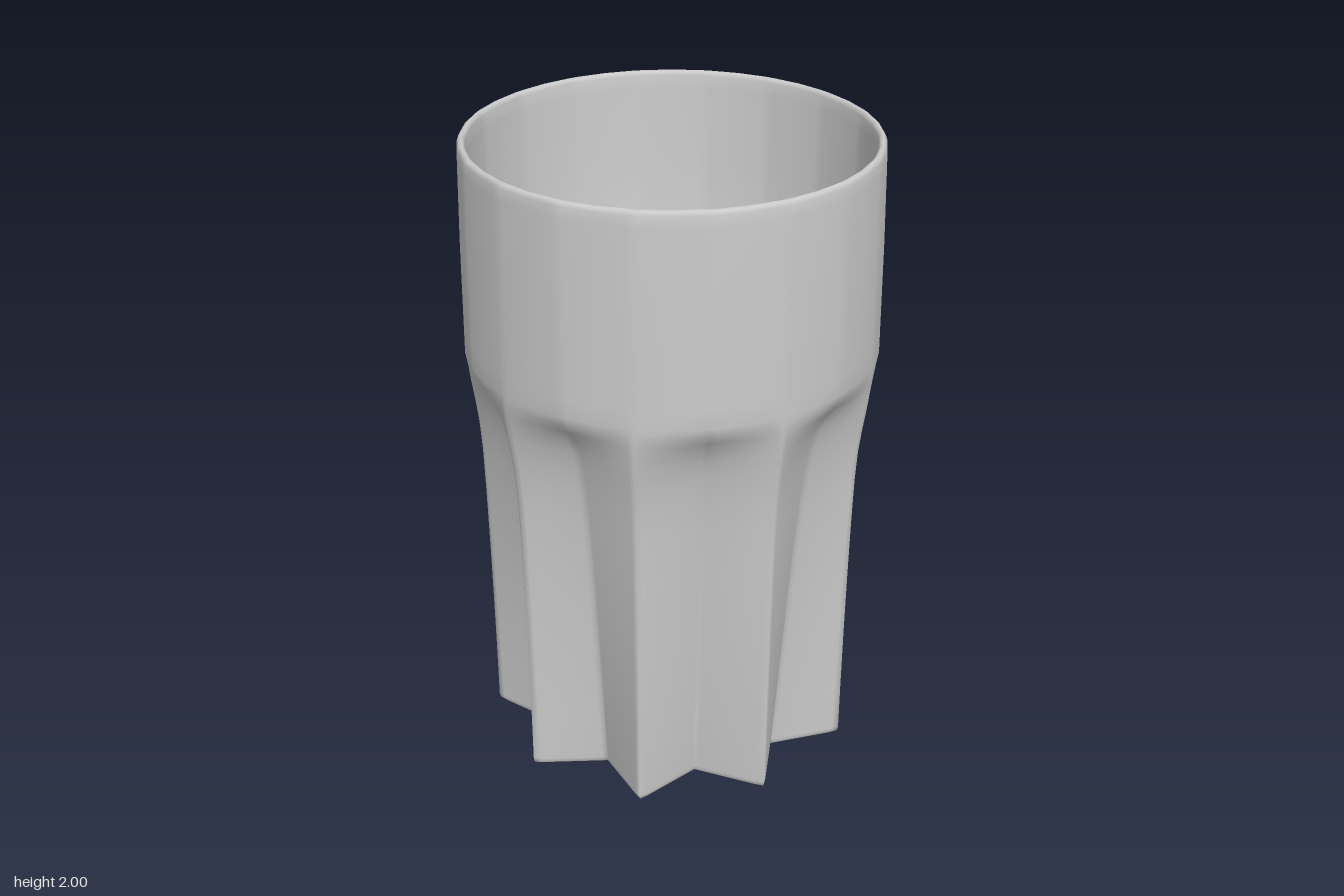
import * as THREE from 'three';
import { toCreasedNormals } from 'three/addons/utils/BufferGeometryUtils.js';

const POINTS = 9;
const HALF = Math.PI / POINTS; // angle from a ridge to the next valley

// Column angles: extra columns beside each ridge and valley keep them tight.
const columns = [];
for (let i = 0; i < POINTS; i++) {
  for (const f of [0, 0.08, 0.5, 0.92, 1, 1.08, 1.5, 1.92]) {
    columns.push({ angle: (i * 2 + f) * HALF, f: f <= 1 ? f : 2 - f });
  }
}

// Radius between ridge and valley: straight star flank, mixed towards a circle by round.
function radiusAt(f, ridge, valley, round) {
  const a = f * HALF;
  const line = ridge * valley * Math.sin(HALF) /
    (ridge * Math.sin(a) + valley * Math.sin(HALF - a));
  const soft = valley + (ridge - valley) * (0.5 + 0.5 * Math.cos(Math.PI * f));
  return THREE.MathUtils.lerp(line, soft, round) - (f === 0 ? 0.004 * (1 - round) : 0);
}

// Skins rows of [y, ridge radius, valley radius, roundness].
function loft(rows) {
  const n = columns.length;
  const pos = [];
  const index = [];
  for (const [y, ridge, valley = ridge, round = 1] of rows) {
    for (const { angle, f } of columns) {
      const r = radiusAt(f, ridge, valley, round);
      pos.push(r * Math.cos(angle), y, -r * Math.sin(angle));
    }
  }
  for (let j = 0; j < rows.length - 1; j++) {
    for (let i = 0; i < n; i++) {
      const a = j * n + i;
      const b = j * n + (i + 1) % n;
      index.push(a, b, b + n, a, b + n, a + n);
    }
  }
  const g = new THREE.BufferGeometry();
  g.setAttribute('position', new THREE.Float32BufferAttribute(pos, 3));
  g.setIndex(index);
  g.computeVertexNormals();
  return g;
}

// Closes a lofted ring with a flat disc.
function disc(radius, y, up) {
  const g = new THREE.CircleGeometry(radius, 72);
  g.rotateX(up ? -Math.PI / 2 : Math.PI / 2);
  g.translate(0, y, 0);
  return g;
}

export function createModel() {
  const group = new THREE.Group();
  group.name = 'flutedTumbler';
  const material = new THREE.MeshStandardMaterial({ color: 0xcccccc });
  const add = (name, geometry) => {
    const mesh = new THREE.Mesh(geometry, material);
    mesh.name = name;
    group.add(mesh);
  };

  // Star-shaped foot flaring into a round upper band, then over the rim
  add('outerWall', loft([
    [0, 0.573, 0.412, 0],
    [0.006, 0.582, 0.418, 0],
    [0.02, 0.586, 0.421, 0],
    [0.2, 0.588, 0.438, 0],
    [0.4, 0.591, 0.456, 0],
    [0.6, 0.595, 0.474, 0],
    [0.8, 0.6, 0.494, 0],
    [0.95, 0.605, 0.512, 0.02],
    [1.05, 0.612, 0.527, 0.06],
    [1.13, 0.622, 0.543, 0.15],
    [1.19, 0.631, 0.56, 0.3],
    [1.24, 0.636, 0.583, 0.5],
    [1.28, 0.639, 0.612, 0.75],
    [1.31, 0.64, 0.632, 0.95],
    [1.34, 0.641],
    [1.4, 0.641],
    [1.7, 0.641],
    [1.95, 0.638],
    [1.985, 0.636],
    [1.996, 0.631],
    [2, 0.623],
    [1.996, 0.615],
    [1.985, 0.611],
    [1.95, 0.609],
  ]));

  // Tapering bowl with a soft blend into the floor
  add('innerWall', loft([
    [1.95, 0.609],
    [1.7, 0.602],
    [1.45, 0.588],
    [1.25, 0.553],
    [1.05, 0.507],
    [0.8, 0.468],
    [0.5, 0.427],
    [0.25, 0.392],
    [0.16, 0.375],
    [0.11, 0.353],
    [0.085, 0.325],
    [0.08, 0.29],
  ]));
  add('innerFloor', disc(0.29, 0.08, true));

  // Underside: star-shaped ring around a shallow round recess
  add('baseRing', toCreasedNormals(loft([
    [0.025, 0.375],
    [0, 0.385],
    [0, 0.573, 0.412, 0],
  ]), 0.5));
  add('baseRecess', disc(0.375, 0.025, false));

  return group;
}
